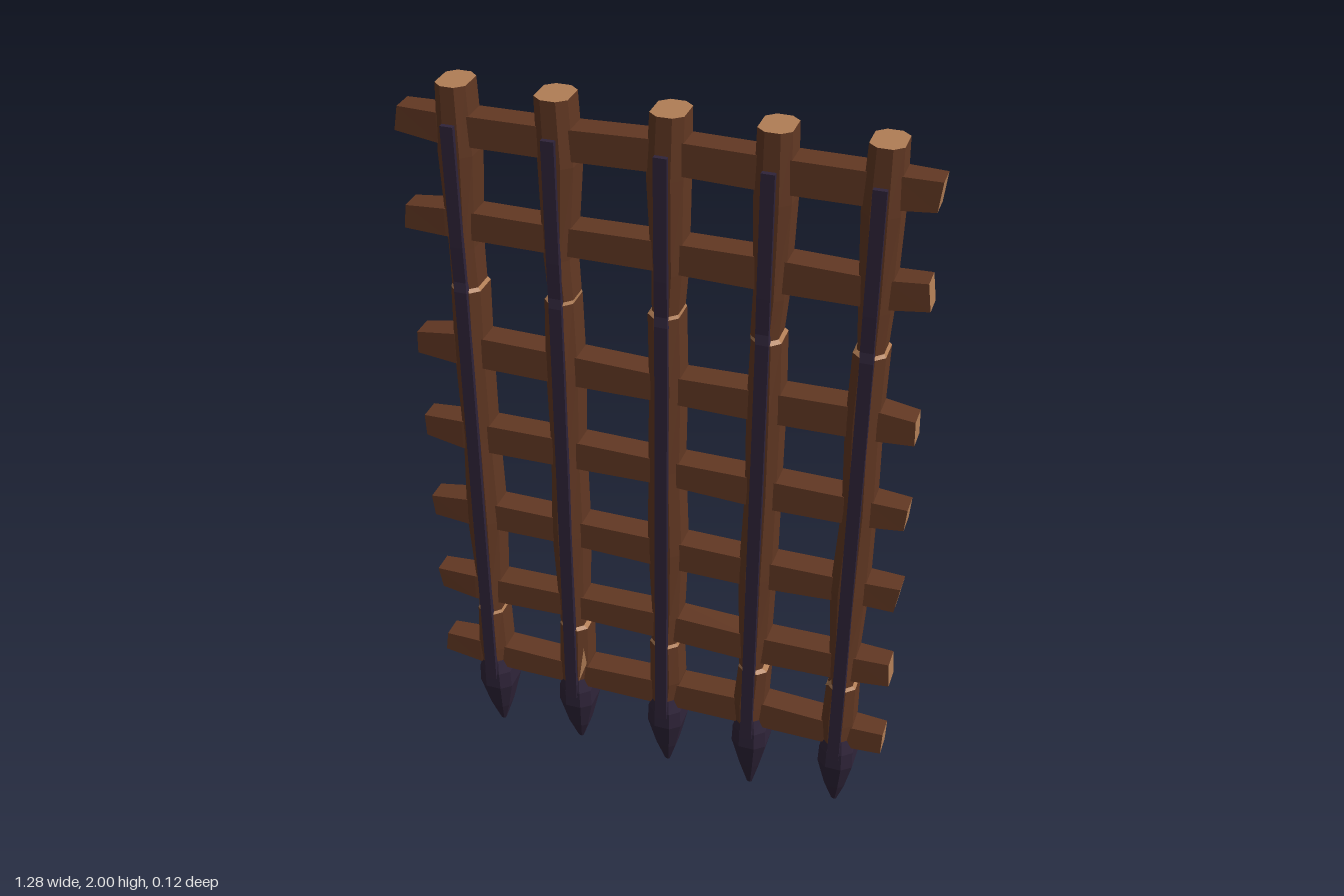
import * as THREE from 'three';

const flat = (name, color) => {
  const m = new THREE.MeshStandardMaterial({ color, flatShading: true });
  m.name = name;
  return m;
};

// Repeatable small variation for hand-hewn timber
function seeded(seed) {
  let s = seed;
  return (range) => {
    s = (s * 16807) % 2147483647;
    return (s / 2147483647 - 0.5) * 2 * range;
  };
}

// Joins rings (counter-clockwise seen from the far end) into a capped solid.
// bandMaterial(i) gives the material slot of each band; caps use slot 1.
function loft(rings, bandMaterial = () => 0) {
  const pos = [], geo = new THREE.BufferGeometry(), n = rings[0].length;
  const tri = (...pts) => pts.forEach((p) => pos.push(...p));
  const group = (slot, build) => {
    const start = pos.length / 3;
    build();
    geo.addGroup(start, pos.length / 3 - start, slot);
  };
  for (let i = 0; i < rings.length - 1; i++) {
    group(bandMaterial(i), () => {
      for (let j = 0; j < n; j++) {
        const k = (j + 1) % n, a = rings[i], b = rings[i + 1];
        tri(a[j], a[k], b[k]);
        tri(a[j], b[k], b[j]);
      }
    });
  }
  group(1, () => {
    const a = rings[0], b = rings[rings.length - 1];
    for (let j = 1; j < n - 1; j++) {
      tri(a[0], a[j + 1], a[j]);
      tri(b[0], b[j], b[j + 1]);
    }
  });
  geo.setAttribute('position', new THREE.Float32BufferAttribute(pos, 3));
  geo.computeVertexNormals();
  return geo;
}

// Horizontal eight-sided section, chamfered toward front and back
function octagon(x, y, z, hx, hz) {
  const cx = hx * 0.45, cz = hz * 0.62;
  return [[hx, cz], [hx, -cz], [cx, -hz], [-cx, -hz], [-hx, -cz], [-hx, cz], [-cx, hz], [cx, hz]]
    .map(([u, w]) => [x + u, y, z + w]);
}

export function createModel() {
  const model = new THREE.Group();
  const wood = flat('dark wood', 0x623823);
  const cut = flat('cut wood', 0xb07d55);
  const iron = flat('dark iron', 0x2f2439);
  const add = (name, geo, mat) => {
    const mesh = new THREE.Mesh(geo, mat);
    mesh.name = name;
    model.add(mesh);
  };

  const postX = [-0.49, -0.245, 0.02, 0.265, 0.51];
  const barY = [0.29, 0.53, 0.785, 1.04, 1.295, 1.65, 1.895];
  const tipY = [0.015, 0.02, 0.012, 0, 0.015];
  // Height, half width and half depth; close pairs are ledges in the timber
  const postProfile = [
    [0.24, 0.036, 0.046], [0.33, 0.042, 0.05], [0.462, 0.038, 0.05], [0.47, 0.034, 0.046],
    [0.56, 0.036, 0.048], [0.78, 0.045, 0.051], [1.04, 0.039, 0.048], [1.29, 0.041, 0.05],
    [1.485, 0.038, 0.051], [1.493, 0.033, 0.045], [1.6, 0.035, 0.048], [1.84, 0.045, 0.052],
    [2, 0.039, 0.05],
  ];

  postX.forEach((x, p) => {
    const rnd = seeded(731 + p * 977);

    // Upright post
    const rings = postProfile.map(([y, hx, hz], i) => {
      const end = i === 0 || i === postProfile.length - 1;
      const dy = end ? 0 : (p % 3 - 1) * 0.01;
      return octagon(x + rnd(0.004), y + dy, -0.003, hx + rnd(0.002), hz);
    });
    add('post', loft(rings, (i) => (i === 2 || i === 8 ? 1 : 0)), [wood, cut]);

    // Iron strap down the front
    const strap = [[0.22, 0.05], [0.47, 0.05], [0.8, 0.051], [1.3, 0.05], [1.48, 0.051], [1.505, 0.046], [1.6, 0.049], [1.91, 0.053]]
      .map(([y, z]) => [[0.016, 0.008], [0.016, -0.01], [-0.016, -0.01], [-0.016, 0.008]]
        .map(([u, w]) => [x + u + (y > 1.5 ? -0.002 : 0), y, z + w]));
    add('ironStrap', loft(strap), [iron, iron]);

    // Spiked iron shoe
    const shoe = [[tipY[p], 0.007, 0.007], [0.085, 0.028, 0.032], [0.18, 0.048, 0.056], [0.235, 0.046, 0.057], [0.275, 0.035, 0.046]]
      .map(([y, hx, hz]) => octagon(x + 0.002, y, -0.003, hx, hz));
    add('spike', loft(shoe), [iron, iron]);
  });

  // Cross bars
  barY.forEach((y, b) => {
    const rnd = seeded(4211 + b * 613);
    const rings = [-0.635, -0.53, -0.25, 0.02, 0.27, 0.53, 0.632].map((x, i) => {
      const end = i === 0 || i === 6;
      const hy = (end ? 0.034 : 0.039) + rnd(0.004), hz = end ? 0.029 : 0.034;
      const cy = y + rnd(0.005), tilt = end ? rnd(0.006) : 0;
      return [[1, -1], [1, 1], [-1, 1], [-1, -1]]
        .map(([u, w]) => [x + u * tilt, cy + u * hy, -0.002 + w * hz]);
    });
    add('crossBar', loft(rings), [wood, cut]);
  });

  // Fresh splinter scars: post, three [x offset, y, z] corners
  const scars = [
    [3, [0.036, 1.98, -0.052], [-0.008, 1.97, -0.058], [0.004, 1.66, -0.057]],
    [2, [0.028, 1.86, -0.057], [-0.018, 1.86, -0.057], [0, 1.998, -0.057]],
    [3, [0.02, 0.56, -0.054], [-0.016, 0.54, -0.055], [-0.014, 0.38, -0.056]],
    [1, [0.022, 0.28, 0.05], [0.041, 0.34, 0.036], [0.036, 0.4, 0.042]],
    [4, [-0.042, 0.46, 0.035], [-0.02, 0.48, 0.05], [-0.022, 0.5, 0.05]],
  ];
  scars.forEach(([p, ...corners]) => {
    const geo = new THREE.BufferGeometry();
    const pts = corners.flatMap(([u, y, z]) => [postX[p] + u, y, z]);
    geo.setAttribute('position', new THREE.Float32BufferAttribute(pts, 3));
    geo.computeVertexNormals();
    add('splinterScar', geo, cut);
  });
  cut.side = THREE.DoubleSide;

  return model;
}
